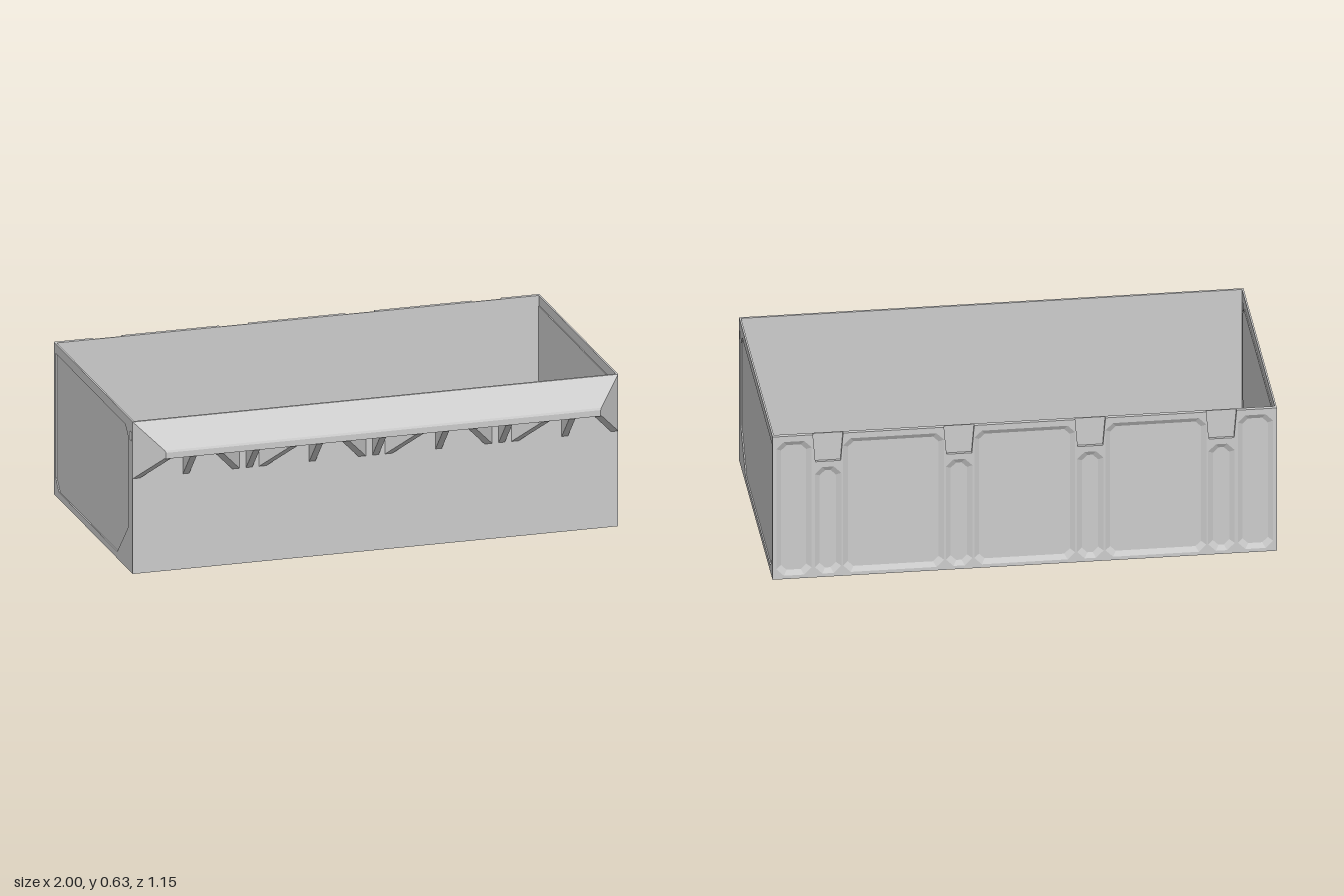
import * as THREE from 'three';

const H = 0.63, BACK = -0.575, FRONT = 0.47, TIP = 0.575;
const WALL = 0.01, BACK_DEPTH = 0.012;

export function createModel() {
  const model = new THREE.Group();
  model.name = 'storageDrawer';
  const mat = new THREE.MeshStandardMaterial({ color: 0xcccccc, flatShading: true, side: THREE.DoubleSide });

  const add = (name, geo, parent = model) => {
    const mesh = new THREE.Mesh(geo, mat);
    mesh.name = name;
    parent.add(mesh);
    return mesh;
  };
  const box = (name, x0, x1, y0, y1, z0, z1) => {
    const geo = new THREE.BoxGeometry(x1 - x0, y1 - y0, z1 - z0);
    geo.translate((x0 + x1) / 2, (y0 + y1) / 2, (z0 + z1) / 2);
    return add(name, geo);
  };
  const toPoints = (list) => list.map(([x, y]) => new THREE.Vector2(x, y));

  // Extrude a [z, y] outline along x, from x0 to x1
  const extrudeX = (outline, x0, x1, holes = []) => {
    const flip = (list) => toPoints(list.map(([z, y]) => [-z, y]));
    const shape = new THREE.Shape(flip(outline));
    for (const hole of holes) shape.holes.push(new THREE.Path(flip(hole)));
    const geo = new THREE.ExtrudeGeometry(shape, { depth: x1 - x0, bevelEnabled: false });
    geo.rotateY(Math.PI / 2);
    return geo.translate(x0, 0, 0);
  };
  // Move x of every vertex by a rule depending on its distance in front of the wall
  const slideX = (geo, rule) => {
    const p = geo.attributes.position;
    for (let i = 0; i < p.count; i++) p.setX(i, rule(p.getX(i), p.getZ(i) - FRONT));
    geo.computeVertexNormals();
    return geo;
  };

  // Floor, front wall and inner skin of the back wall
  box('floor', -0.995, 0.995, 0, WALL, BACK + 0.002, FRONT);
  box('frontWall', -1, 1, 0, H, FRONT - WALL, FRONT);
  box('backWall', -0.995, 0.995, 0, H, BACK + BACK_DEPTH, BACK + BACK_DEPTH + 0.005);

  // Side walls: thin frame with a slot and a shallow recessed panel
  const sideOutline = [[BACK, 0], [FRONT, 0], [FRONT, H], [BACK, H]];
  const panel = [[0.415, 0.545], [0.37, 0.59], [-0.55, 0.59], [-0.55, 0.075],
    [-0.505, 0.028], [0.265, 0.028], [0.415, 0.18]];
  const slot = [[0.435, 0.545], [0.452, 0.545], [0.452, 0.582], [0.435, 0.582]];
  for (const side of [1, -1]) {
    const label = side > 0 ? 'left' : 'right';
    const mid = side * 0.9965;
    add(label + 'SideWall', extrudeX(sideOutline, mid - 0.0035, mid + 0.0035, [panel, slot]));
    const inner = side * 0.992;
    add(label + 'SidePanel', extrudeX(panel, inner - 0.003, inner + 0.003));
  }

  // Back lattice: outline notched at the top, with bevelled recesses
  const notches = [-0.78, -0.26, 0.26, 0.78];
  const outline = [[-0.998, 0], [0.998, 0], [0.998, H]];
  for (const x of [...notches].reverse()) {
    outline.push([x + 0.06, H], [x + 0.05, 0.51], [x - 0.05, 0.51], [x - 0.06, H]);
  }
  outline.push([-0.998, H]);
  const chamfered = (x, w, y0, y1, c) => {
    const a = x - w / 2, b = x + w / 2;
    return [[a + c, y0], [b - c, y0], [b, y0 + c], [b, y1 - c], [b - c, y1], [a + c, y1], [a, y1 - c], [a, y0 + c]];
  };
  const recesses = [
    ...[-0.52, 0, 0.52].map((x) => [x, 0.4, 0.015, 0.605]),
    ...[-0.915, 0.915].map((x) => [x, 0.14, 0.015, 0.605]),
    ...notches.map((x) => [x, 0.105, 0.015, 0.485]),
  ];
  const lattice = new THREE.Shape(toPoints(outline));
  const bevels = new THREE.Group();
  bevels.name = 'backRecessBevels';
  model.add(bevels);
  for (const [x, w, y0, y1] of recesses) {
    const outer = chamfered(x, w, y0, y1, 0.03);
    const inset = chamfered(x, w - 0.04, y0 + 0.02, y1 - 0.02, 0.022);
    lattice.holes.push(new THREE.Path(toPoints(outer)));
    const pos = [], index = [];
    outer.forEach((p, i) => {
      pos.push(p[0], p[1], BACK, inset[i][0], inset[i][1], BACK + BACK_DEPTH);
      const a = 2 * i, b = 2 * ((i + 1) % outer.length);
      index.push(a, a + 1, b, b, a + 1, b + 1);
    });
    const geo = new THREE.BufferGeometry();
    geo.setAttribute('position', new THREE.Float32BufferAttribute(pos, 3));
    geo.setIndex(index);
    geo.computeVertexNormals();
    add('recessBevel', geo, bevels);
  }
  const latticeGeo = new THREE.ExtrudeGeometry(lattice, { depth: BACK_DEPTH, bevelEnabled: false });
  add('backLattice', latticeGeo.translate(0, 0, BACK));

  // Sloping front lip with mitred ends and a short upright edge
  const lip = [[FRONT, H], [TIP - 0.004, 0.533], [TIP, 0.525], [TIP, 0.5],
    [TIP - 0.01, 0.5], [TIP - 0.01, 0.52], [FRONT, 0.613]];
  add('frontLip', slideX(extrudeX(lip, -1, 1), (x, d) => x * (1 - d)));

  // Bracket ribs under the lip, straight or leaning sideways
  const bracket = [[FRONT, 0.622], [TIP - 0.005, 0.522], [TIP - 0.005, 0.5], [FRONT, 0.395]];
  const rib = (name, x, width, lean) =>
    add(name, slideX(extrudeX(bracket, x - width / 2, x + width / 2), (px, d) => px + lean * d));
  for (let i = -3; i <= 3; i++) rib('straightRib', i * 0.26, 0.026, 0);
  for (const x of [-0.52, 0, 0.52]) {
    for (const s of [1, -1]) rib('diagonalRib', x + s * 0.055, 0.03, s);
  }
  for (const s of [1, -1]) rib('endRib', s * 0.985, 0.03, -s);

  return model;
}
